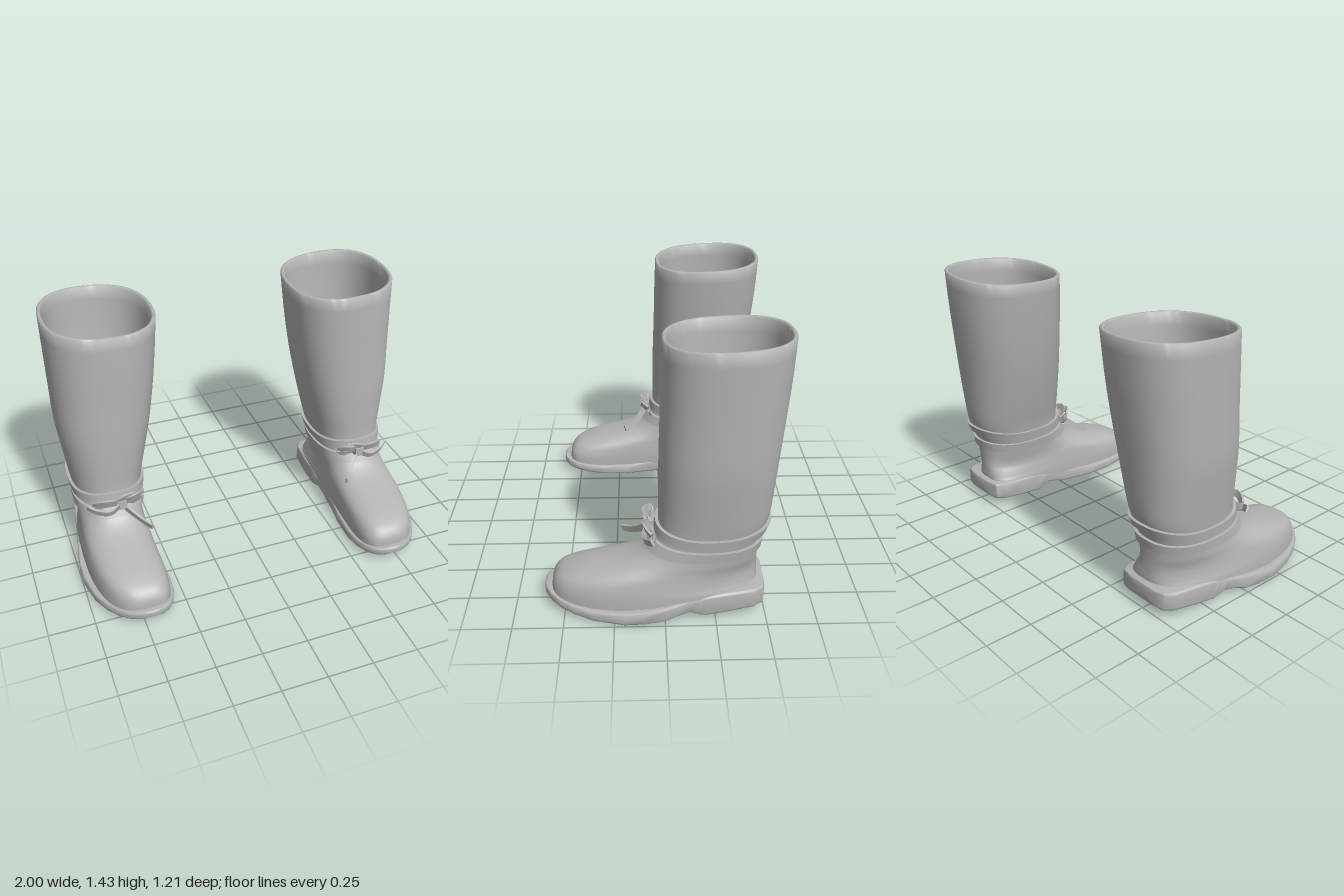
import * as THREE from 'three';
import { toCreasedNormals } from 'three/addons/utils/BufferGeometryUtils.js';

const V = (x, y, z) => new THREE.Vector3(x, y, z);
const leather = new THREE.MeshStandardMaterial({ color: 0xb4b4b4 });
leather.name = 'grey leather';

// Skin a list of rings (counter-clockwise about the direction of advance); side -1 mirrors it
function loft(rings, side, crease, caps = true) {
  const pos = [], idx = [], n = rings[0].length;
  for (const ring of rings) {
    const pts = side < 0 ? [...ring].reverse() : ring;
    for (const p of pts) pos.push(p.x * side, p.y, p.z);
  }
  for (let i = 0; i < rings.length - 1; i++) {
    for (let j = 0; j < n; j++) {
      const a = i * n + j, b = i * n + (j + 1) % n, c = b + n, d = a + n;
      idx.push(a, b, d, b, c, d);
    }
  }
  if (caps) {
    [0, rings.length - 1].forEach((r, end) => {
      const mid = rings[r].reduce((s, p) => s.add(p), V(0, 0, 0)).divideScalar(n);
      const m = pos.length / 3;
      pos.push(mid.x * side, mid.y, mid.z);
      for (let j = 0; j < n; j++) {
        const a = r * n + j, b = r * n + (j + 1) % n;
        if (end) idx.push(m, a, b); else idx.push(m, b, a);
      }
    });
  }
  const g = new THREE.BufferGeometry();
  g.setAttribute('position', new THREE.Float32BufferAttribute(pos, 3));
  g.setIndex(idx);
  g.computeVertexNormals();
  return toCreasedNormals(g, crease);
}

// Boot slices by height: y, inner x, outer x, back z, front z, squareness, foot bend
const SLICES = [
  [0.08, 0.575, 0.965, -0.47, 0.57, 3.3, 1],
  [0.13, 0.575, 0.962, -0.47, 0.565, 3.2, 1],
  [0.165, 0.578, 0.955, -0.47, 0.54, 3, 0.9],
  [0.19, 0.58, 0.95, -0.468, 0.5, 2.8, 0.8],
  [0.22, 0.583, 0.945, -0.467, 0.41, 2.5, 0.6],
  [0.25, 0.585, 0.94, -0.466, 0.28, 2.4, 0.45],
  [0.28, 0.582, 0.938, -0.466, 0.18, 2.4, 0.3],
  [0.32, 0.575, 0.935, -0.467, 0.105, 2.4, 0.15],
  [0.37, 0.565, 0.935, -0.47, 0.06, 2.4, 0],
  [0.42, 0.555, 0.94, -0.485, 0.037, 2.4, 0],
  [0.5, 0.54, 0.95, -0.515, 0.03, 2.4, 0],
  [0.6, 0.515, 0.962, -0.53, 0.03, 2.4, 0],
  [0.8, 0.47, 0.985, -0.55, 0.028, 2.4, 0],
  [1.0, 0.435, 0.988, -0.572, 0.022, 2.4, 0],
  [1.2, 0.41, 0.99, -0.592, 0.018, 2.4, 0],
  [1.4, 0.39, 0.992, -0.605, 0.012, 2.4, 0],
];

// Smooth interpolation of the slice table
function sliceAt(y) {
  const last = SLICES.length - 1;
  let i = 0;
  while (i < last - 1 && y > SLICES[i + 1][0]) i++;
  const a = SLICES[i], b = SLICES[i + 1], p = SLICES[Math.max(i - 1, 0)], q = SLICES[Math.min(i + 2, last)];
  const h = b[0] - a[0], t = THREE.MathUtils.clamp((y - a[0]) / h, 0, 1);
  return a.map((v, k) => {
    const m0 = (b[k] - p[k]) / (b[0] - p[0]) * h, m1 = (q[k] - v) / (q[0] - a[0]) * h;
    return (2 * t ** 3 - 3 * t * t + 1) * v + (t ** 3 - 2 * t * t + t) * m0
      + (3 * t * t - 2 * t ** 3) * b[k] + (t ** 3 - t * t) * m1;
  });
}

// Sole stations along z: z, inner x, outer x, bottom y, top y
const SOLE = [
  [-0.5, 0.64, 0.84, 0.055, 0.14],
  [-0.487, 0.59, 0.89, 0.05, 0.145],
  [-0.44, 0.565, 0.92, 0.045, 0.146],
  [-0.3, 0.56, 0.94, 0.03, 0.14],
  [-0.2, 0.565, 0.95, 0.02, 0.13],
  [-0.17, 0.565, 0.952, 0.025, 0.125],
  [-0.12, 0.57, 0.96, 0.046, 0.115],
  [-0.05, 0.575, 0.975, 0.03, 0.1],
  [0, 0.576, 0.985, 0.012, 0.09],
  [0.1, 0.57, 0.998, 0.005, 0.075],
  [0.2, 0.556, 0.997, 0.001, 0.064],
  [0.35, 0.546, 0.967, 0.008, 0.062],
  [0.45, 0.555, 0.925, 0.018, 0.067],
  [0.52, 0.575, 0.88, 0.028, 0.075],
  [0.57, 0.605, 0.83, 0.037, 0.083],
  [0.598, 0.645, 0.78, 0.046, 0.088],
  [0.607, 0.68, 0.745, 0.053, 0.083],
];

function soleTop(z) {
  let i = 0;
  while (i < SOLE.length - 2 && z > SOLE[i + 1][0]) i++;
  const a = SOLE[i], b = SOLE[i + 1];
  return THREE.MathUtils.lerp(a[4], b[4], THREE.MathUtils.clamp((z - a[0]) / (b[0] - a[0]), 0, 1));
}

// A point on the boot's surface at height y and turn t (0 = front), moved in by inset
function bootPoint(y, t, inset = 0, lift = 0) {
  const [, xi, xo, zb, zf, n, bend] = sliceAt(y);
  const power = (v) => Math.sign(v) * Math.abs(v) ** (2 / n);
  const z = (zb + zf) / 2 + ((zf - zb) / 2 - inset) * power(Math.cos(t));
  const x = (xi + xo) / 2 + ((xo - xi) / 2 - inset) * power(Math.sin(t)) - bend * 0.2 * (z - 0.05) ** 2;
  const low = Math.max(0, 1 - (y - 0.08) / 0.08);
  const tilt = THREE.MathUtils.clamp((y - 0.5) / 0.9, 0, 1);
  return V(x, y + lift + low * (soleTop(z) - 0.1) + tilt * 0.045 * (x - 0.69 - z - 0.3), z);
}

const turn = (count, f) => Array.from({ length: count }, (_, i) => f(i / count * Math.PI * 2));

// Upper: outside going up, rounded rim, lining going down to the insole
function upperGeometry(side) {
  const heights = [];
  SLICES.slice(0, -1).forEach((row, i) => {
    for (let k = 0; k < 3; k++) heights.push(row[0] + (SLICES[i + 1][0] - row[0]) * k / 3);
  });
  heights.push(1.4);
  const ring = (y, inset, lift) => turn(72, (t) => bootPoint(y, t, inset, lift));
  const rings = heights.map((y) => ring(y, 0));
  rings.push(ring(1.4, 0.006, 0.007), ring(1.4, 0.016, 0.007));
  [...heights].reverse().filter((y) => y > 0.125).forEach((y) => rings.push(ring(y, 0.022)));
  return loft(rings, side, 0.9);
}

// Sole and heel in one piece with rounded edges
function soleGeometry(side) {
  const rings = SOLE.map(([z, xi, xo, yb, yt]) => {
    const shape = [], r = 0.014;
    [[xo - r, yt - r], [xi + r, yt - r], [xi + r, yb + r], [xo - r, yb + r]].forEach(([cx, cy], q) => {
      for (let k = 0; k < 4; k++) {
        const a = (q + k / 3) * Math.PI / 2;
        shape.push(V(cx + r * Math.cos(a), cy + r * Math.sin(a), z));
      }
    });
    return shape;
  });
  return loft(rings, side, 0.8);
}

// Flat strap hugging the ankle, its height set by the turn
function strapGeometry(side, heightAt) {
  const rings = turn(72, (t) => {
    const y = heightAt(Math.cos(t)), h = 0.025;
    return [bootPoint(y - h, t, 0.004), bootPoint(y + h, t, 0.004),
      bootPoint(y + h, t, -0.016), bootPoint(y - h, t, -0.016)];
  });
  rings.push(rings[0]);
  return loft(rings, side, 0.6, false);
}

// Flat lace following a curve
function laceGeometry(side, points) {
  const curve = new THREE.CatmullRomCurve3(points.map((p) => V(...p)));
  const rings = [];
  for (let i = 0; i <= 20; i++) {
    const p = curve.getPointAt(i / 20), T = curve.getTangentAt(i / 20);
    const d = V(0, 1, 0.35);
    d.addScaledVector(T, -d.dot(T)).normalize();
    const n = T.clone().cross(d);
    rings.push([[-1, -1], [1, -1], [1, 1], [-1, 1]].map(([u, v]) =>
      p.clone().addScaledVector(d, u * 0.018).addScaledVector(n, v * 0.006)));
  }
  return loft(rings, side, 0.6);
}

const LACES = {
  innerBowLoop: [[0.72, 0.42, 0.07], [0.66, 0.46, 0.1], [0.61, 0.44, 0.06], [0.64, 0.4, 0.05], [0.72, 0.41, 0.06]],
  outerBowLoop: [[0.72, 0.42, 0.07], [0.8, 0.455, 0.1], [0.87, 0.43, 0.06], [0.82, 0.4, 0.05], [0.72, 0.41, 0.06]],
  innerTail: [[0.72, 0.41, 0.08], [0.67, 0.36, 0.12], [0.62, 0.325, 0.17], [0.59, 0.315, 0.21]],
  outerTail: [[0.72, 0.42, 0.08], [0.79, 0.385, 0.1], [0.86, 0.4, 0.09], [0.91, 0.425, 0.06]],
  shortEnd: [[0.72, 0.42, 0.075], [0.735, 0.45, 0.09], [0.7, 0.465, 0.09], [0.65, 0.463, 0.08]],
};

function createBoot(side) {
  const boot = new THREE.Group();
  boot.name = side > 0 ? 'leftBoot' : 'rightBoot';
  const add = (name, geometry) => {
    const mesh = new THREE.Mesh(geometry, leather);
    mesh.name = name;
    boot.add(mesh);
    return mesh;
  };
  add('upper', upperGeometry(side));
  add('sole', soleGeometry(side));
  add('lowerStrap', strapGeometry(side, (c) => 0.353 + 0.013 * c * c));
  add('upperStrap', strapGeometry(side, (c) => 0.425 + 0.03 * c * c - 0.008 * c));
  for (const [name, points] of Object.entries(LACES)) add(name, laceGeometry(side, points));
  add('knot', new THREE.BoxGeometry(0.045, 0.05, 0.05)).position.set(0.72 * side, 0.418, 0.078);
  return boot;
}

export function createModel() {
  const model = new THREE.Group();
  model.name = 'boots';
  model.add(createBoot(1), createBoot(-1));
  return model;
}
